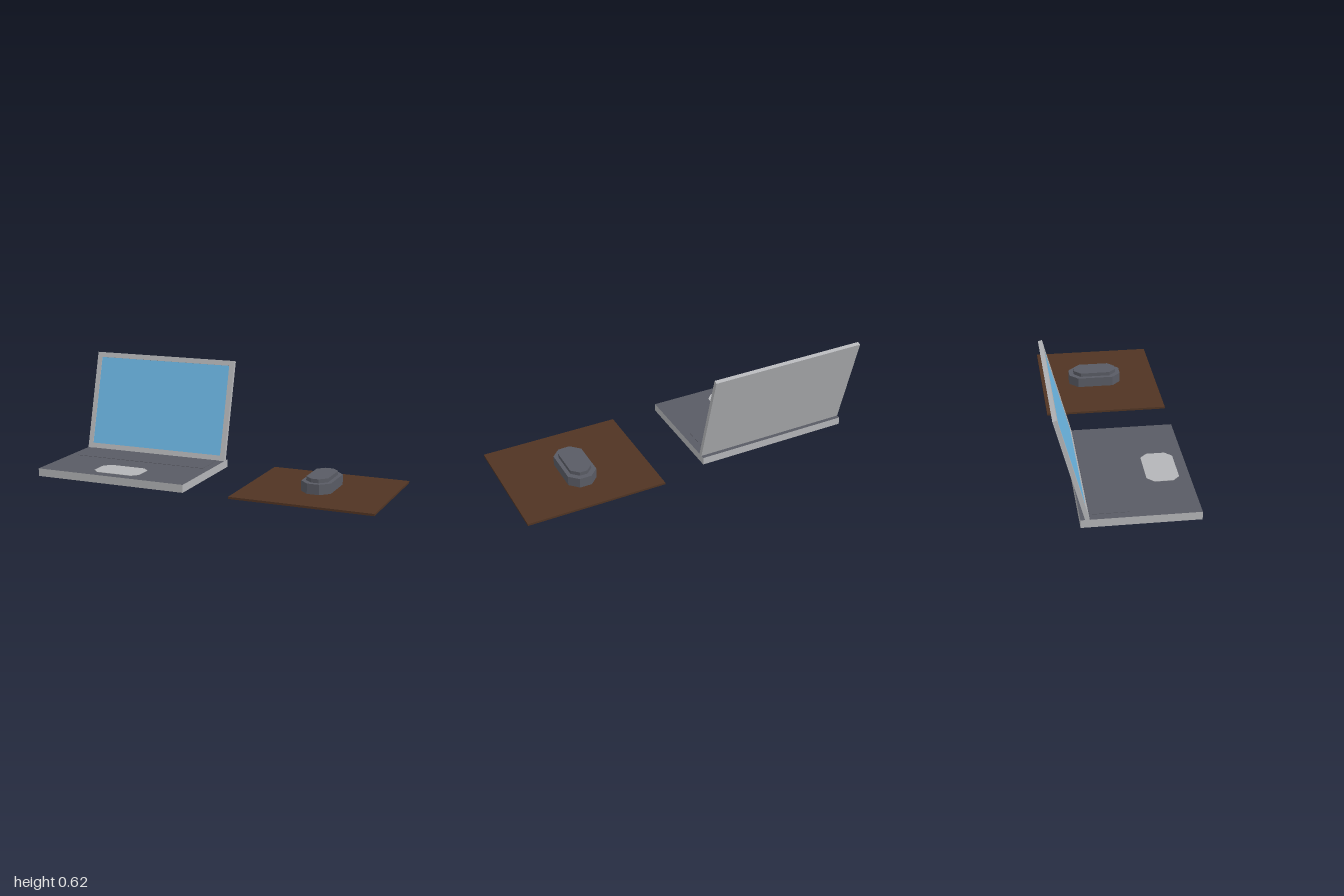
import * as THREE from 'three';

const mat = (name, color) => {
  const m = new THREE.MeshStandardMaterial({ color });
  m.name = name;
  return m;
};

export function createModel() {
  const silver = mat('silver casing', 0xb4b5b8);
  const slate = mat('slate grey', 0x595b64);
  const blue = mat('screen blue', 0x6cb6e2);
  const brown = mat('mat brown', 0x503423);

  const model = new THREE.Group();
  model.name = 'laptopAndMouse';

  // Box given by its minimum and maximum corners
  const box = (name, min, max, material, parent = model) => {
    const size = max.map((v, i) => v - min[i]);
    const mesh = new THREE.Mesh(new THREE.BoxGeometry(...size), material);
    mesh.position.set(...max.map((v, i) => (v + min[i]) / 2));
    mesh.name = name;
    parent.add(mesh);
    return mesh;
  };

  // Upright slab with a rectangular outline and cut corners
  const slab = (name, x, z, w, d, cut, y0, y1, material, parent = model) => {
    const a = w / 2, b = d / 2, c = cut;
    const outline = [[a - c, -b], [a, c - b], [a, b - c], [a - c, b],
      [c - a, b], [-a, b - c], [-a, c - b], [c - a, -b]];
    const shape = new THREE.Shape(outline.map(p => new THREE.Vector2(...p)));
    const geo = new THREE.ExtrudeGeometry(shape, { depth: y1 - y0, bevelEnabled: false });
    geo.rotateX(-Math.PI / 2);
    const mesh = new THREE.Mesh(geo, material);
    mesh.position.set(x, y0, z);
    mesh.name = name;
    parent.add(mesh);
  };

  // Laptop base: silver casing with a slate top face
  const laptop = new THREE.Group();
  laptop.name = 'laptop';
  model.add(laptop);
  box('base', [-1, 0, -0.253], [-0.085, 0.045, 0.368],
    [silver, silver, slate, silver, silver, silver], laptop);
  box('keyboard', [-0.955, 0.044, -0.203], [-0.13, 0.047, 0], slate, laptop);
  slab('touchpad', -0.543, 0.223, 0.287, 0.175, 0.037, 0.044, 0.047, silver, laptop);

  // Lid, leaning back from the hinge line
  const lid = new THREE.Group();
  lid.name = 'lid';
  lid.position.set(-0.5425, 0.045, -0.206);
  lid.rotation.x = -THREE.MathUtils.degToRad(15);
  laptop.add(lid);
  const W = 0.4575, H = 0.595, T = 0.023, R = 0.005;
  box('lidBack', [-W, 0, -T], [W, H, -R], silver, lid);

  // Bezel frame around the sunken screen
  const rect = (x0, y0, x1, y1, Type) => new Type(
    [[x0, y0], [x1, y0], [x1, y1], [x0, y1]].map(p => new THREE.Vector2(...p)));
  const frame = rect(-W, 0, W, H, THREE.Shape);
  frame.holes.push(rect(-W + 0.03, 0.031, W - 0.03, H - 0.03, THREE.Path));
  const bezel = new THREE.Mesh(
    new THREE.ExtrudeGeometry(frame, { depth: R, bevelEnabled: false }), silver);
  bezel.position.z = -R;
  bezel.name = 'bezel';
  lid.add(bezel);
  box('screen', [-W + 0.03, 0.031, -R], [W - 0.03, H - 0.03, -R + 0.001], blue, lid);

  // Mouse mat and two-tier mouse
  box('mouseMat', [0.19, 0, -0.322], [1, 0.012, 0.38], brown);
  const mouse = new THREE.Group();
  mouse.name = 'mouse';
  model.add(mouse);
  slab('mouseBody', 0.593, 0.003, 0.17, 0.312, 0.05, 0.012, 0.07, slate, mouse);
  slab('mouseTop', 0.593, 0.003, 0.125, 0.256, 0.04, 0.07, 0.092, slate, mouse);

  return model;
}
